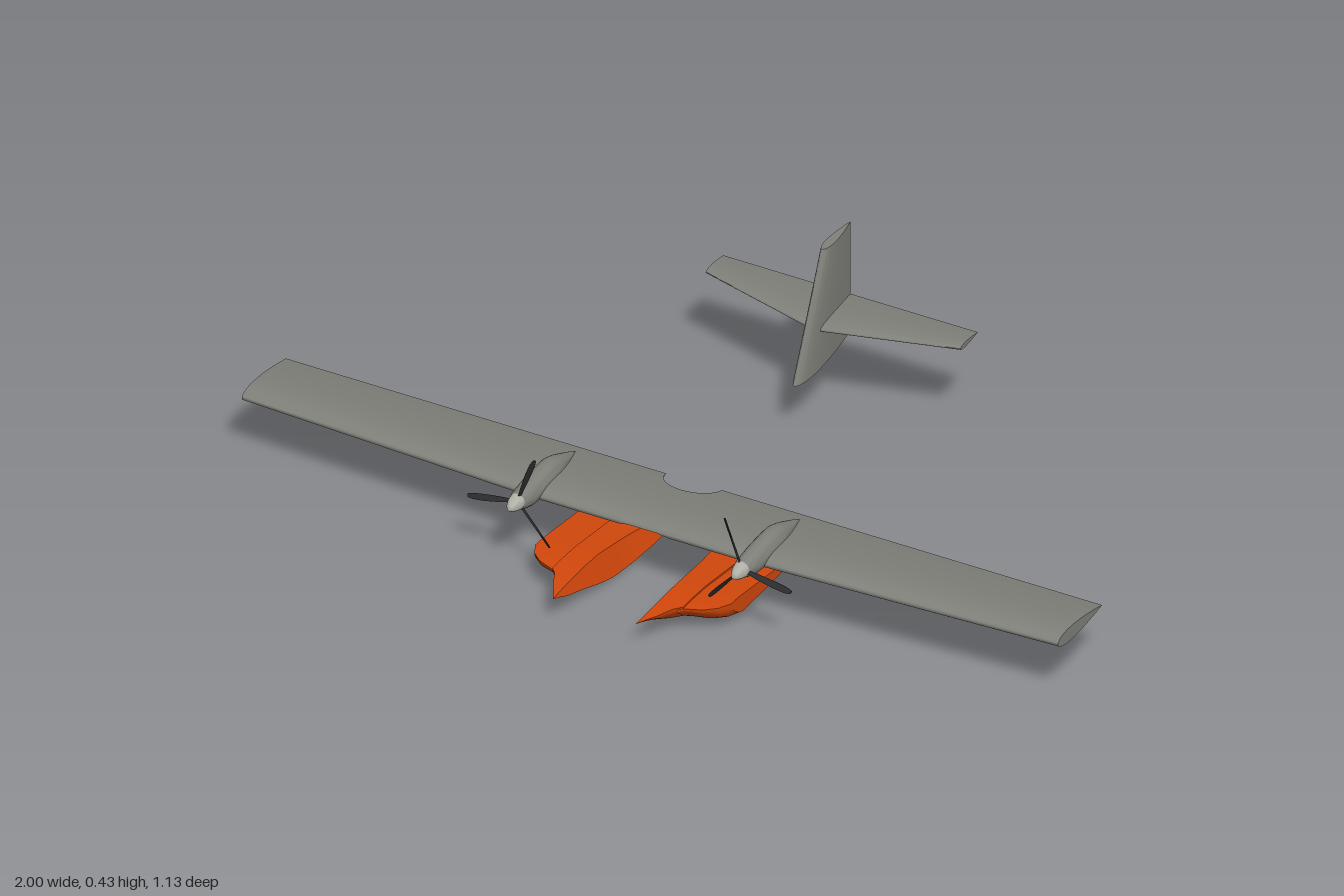
import * as THREE from 'three';
import { toCreasedNormals } from 'three/addons/utils/BufferGeometryUtils.js';

const paint = (name, color) => {
  const m = new THREE.MeshStandardMaterial({ color });
  m.name = name;
  return m;
};
const V = (x, y, z) => new THREE.Vector3(x, y, z);

// Linear interpolation through [key, value] pairs with rising keys
function lerpTable(table, k) {
  if (k <= table[0][0]) return table[0][1];
  for (let i = 1; i < table.length; i++) {
    const [a, va] = table[i - 1], [b, vb] = table[i];
    if (k <= b) return va + (vb - va) * (k - a) / (b - a);
  }
  return table[table.length - 1][1];
}

// Skin closed loops of equal length, cap both ends, face everything outward
function loft(loops, crease = 0.6) {
  const n = loops[0].length, pts = loops.flat(), index = [];
  for (let i = 0; i < loops.length - 1; i++)
    for (let j = 0; j < n; j++) {
      const a = i * n + j, b = i * n + (j + 1) % n;
      index.push(a, b, b + n, a, b + n, a + n);
    }
  // caps zip the two halves of the loop together
  const cap = (o, flip) => {
    for (let j = 0; j < n / 2 - 1; j++) {
      const a = o + j, b = o + j + 1, c = o + n - 2 - j, d = o + n - 1 - j;
      index.push(...(flip ? [a, c, b, a, d, c] : [a, b, c, a, c, d]));
    }
  };
  cap(0, true);
  cap((loops.length - 1) * n, false);
  let volume = 0;
  for (let i = 0; i < index.length; i += 3)
    volume += pts[index[i]].dot(V().crossVectors(pts[index[i + 1]], pts[index[i + 2]]));
  if (volume < 0) index.reverse();
  const g = new THREE.BufferGeometry().setFromPoints(pts);
  g.setIndex(index);
  return toCreasedNormals(g, crease);
}

// Half thickness of an airfoil, 0..1, at chord fraction u
const foilHalf = u => Math.max(0, 2 * (1.4845 * Math.sqrt(u) - 0.63 * u - 1.758 * u * u
  + 1.4215 * u ** 3 - 0.518 * u ** 4));

// Loop from upper(u) front to back and lower(u) back to front
function foilLoop(upper, lower, steps = 18) {
  const loop = [];
  const u = i => 1 - Math.cos(i / steps * Math.PI / 2);
  for (let i = 0; i <= steps; i++) loop.push(upper(u(i)));
  for (let i = steps; i >= 0; i--) loop.push(lower(u(i)));
  return loop;
}

// Wing section, carved from below and behind where the hull would sit
function wingLoop(x) {
  const ax = Math.abs(x);
  const front = lerpTable([[0.27, 0.354], [1, 0.32]], ax), back = 0.125;
  const chord = front - back, half = 0.0195 * (0.3 + 0.7 * chord / 0.229);
  const end = ax < 0.068 ? back + 0.058 * Math.sqrt(1 - (ax / 0.068) ** 2) : back;
  const uEnd = (front - end) / chord;
  const hull = 0.172 - 0.025 * (ax / 0.09) ** 2;
  const top = u => 0.168 - 0.01 * u + half * foilHalf(u);
  const bottom = u => Math.min(top(u), Math.max(0.168 - 0.01 * u - half * foilHalf(u), hull));
  const at = f => u => V(x, f(u * uEnd), front - chord * u * uEnd);
  return foilLoop(at(top), at(bottom));
}

// Side profile of the sponsons: [z, y]
const sponsonTop = [[0.07, 0.04], [0.2, 0.056], [0.3, 0.069], [0.36, 0.077], [0.42, 0.08], [0.5, 0.08], [0.57, 0.077]];
const sponsonBottom = [[0.07, 0.016], [0.13, 0.009], [0.2, 0.004], [0.26, 0.003], [0.33, 0.008],
  [0.38, 0.018], [0.45, 0.04], [0.51, 0.056], [0.57, 0.071]];
const sponsonFront = [[0.1, 0.565], [0.115, 0.54], [0.13, 0.515], [0.145, 0.48], [0.16, 0.463],
  [0.2, 0.447], [0.225, 0.425], [0.24, 0.395]];
const innerEdge = [[0.07, 0.05], [0.13, 0.068], [0.25, 0.08], [0.36, 0.083], [0.56, 0.083]];

function sponsonLoop(side, x, back, drop, floor, xAt) {
  const front = lerpTable(sponsonFront, x);
  const point = lower => u => {
    const z = front + (back - front) * u;
    const t = lerpTable(sponsonTop, z) - drop;
    const b = Math.min(t, Math.max(floor, lerpTable(sponsonBottom, z)));
    const nose = Math.sqrt(Math.min(1, (front - z) / 0.05));
    const y = lower ? t - (t - b) * nose : t;
    return V(side * (xAt ? xAt(y, z) : x), y, z);
  };
  return foilLoop(point(false), point(true), 20);
}

// Round body along z from rows of [z, centre y, half width, half height]
function podLoops(x, rows) {
  return rows.map(([z, y, rx, ry]) => Array.from({ length: 24 }, (_, i) => {
    const a = (i + 0.5) / 24 * Math.PI * 2;
    return V(x + rx * Math.cos(a), y + ry * Math.sin(a), z);
  }));
}

export function createModel() {
  const grey = paint('airframe grey', 0x80807a);
  const light = paint('spinner grey', 0xb0b0a8);
  const dark = paint('propeller black', 0x2b2b2d);
  const orange = paint('sponson orange', 0xd4480c);

  const model = new THREE.Group();
  model.name = 'twinEngineFlyingBoatParts';
  const add = (name, geometry, material, parent = model) => {
    const mesh = new THREE.Mesh(geometry, material);
    mesh.name = name;
    parent.add(mesh);
    return mesh;
  };

  // Main wing
  const half = [0.006, 0.015, 0.025, 0.035, 0.045, 0.053, 0.06, 0.065, 0.068, 0.08, 0.09, 0.1, 0.18, 0.27, 0.5, 0.75, 1];
  const stations = [...half.map(x => -x).reverse(), 0, ...half];
  add('wing', loft(stations.map(wingLoop)), grey);

  // Tail fin: upright airfoil with swept leading edge
  add('tailFin', loft([[0.15, -0.318, 0.016], [0.43, -0.442, 0.011]].map(([y, front, t]) => {
    const at = s => u => V(s * t * foilHalf(u), y, front + (-0.567 - front) * u);
    return foilLoop(at(1), at(-1));
  })), grey);

  // Tailplane
  add('tailplane', loft([[-0.312, -0.49, 0.006], [0, -0.405, 0.011], [0.312, -0.49, 0.006]].map(([x, front, t]) => {
    const at = s => u => V(x, 0.245 + s * t * foilHalf(u), front + (-0.567 - front) * u);
    return foilLoop(at(1), at(-1));
  })), grey);

  for (const side of [1, -1]) {
    const label = side > 0 ? 'left' : 'right';
    const x = side * 0.275;

    // Engine nacelle fading into the wing
    add(label + 'Nacelle', loft(podLoops(x, [
      [0.415, 0.183, 0.018, 0.018], [0.4, 0.182, 0.022, 0.023], [0.375, 0.179, 0.025, 0.028],
      [0.34, 0.179, 0.027, 0.031], [0.3, 0.18, 0.027, 0.032], [0.265, 0.181, 0.026, 0.031],
      [0.235, 0.178, 0.022, 0.025], [0.2, 0.171, 0.014, 0.017], [0.175, 0.166, 0.007, 0.011],
      [0.155, 0.163, 0.001, 0.003]])), grey);

    // Propeller: spinner and three blades
    const propeller = new THREE.Group();
    propeller.name = label + 'Propeller';
    propeller.position.set(x, 0.184, 0.41);
    model.add(propeller);
    add('spinner', loft(podLoops(0, [[0.039, 0, 0.001, 0.001], [0.036, 0, 0.006, 0.006],
      [0.028, 0, 0.011, 0.011], [0.016, 0, 0.016, 0.016], [0, 0, 0.019, 0.019]])), light, propeller);
    const blade = loft([[0.01, 0.008, 1.3], [0.04, 0.014, 1.15], [0.08, 0.016, 0.95],
      [0.11, 0.014, 0.85], [0.123, 0.008, 0.8]].map(([r, chord, pitch]) => {
      const at = s => u => {
        const c = (u - 0.4) * chord, t = s * 0.0022 * foilHalf(u);
        return V(side * (c * Math.cos(pitch) - t * Math.sin(pitch)), r,
          c * Math.sin(pitch) + t * Math.cos(pitch));
      };
      return foilLoop(at(1), at(-1), 8);
    }));
    for (let i = 0; i < 3; i++)
      add('blade', blade, dark, propeller).rotation.z = side * (20 + i * 120) * Math.PI / 180;

    // Sponson: deep inner body and shallower, shorter outer body
    const sponson = new THREE.Group();
    sponson.name = label + 'Sponson';
    model.add(sponson);
    const edge = (y, z) => lerpTable(innerEdge, z) + 0.3 * (y - 0.015);
    add('innerSponson', loft([
      sponsonLoop(side, 0.1, 0.07, 0, 0, edge),
      ...[0.115, 0.13, 0.145, 0.16].map(v => sponsonLoop(side, v, 0.07, 0, 0))]), orange, sponson);
    add('outerSponson', loft([0.15, 0.16, 0.18, 0.2, 0.215, 0.225, 0.233, 0.24].map(v =>
      sponsonLoop(side, v, 0.12, 0.004, 0.027))), orange, sponson);
  }
  return model;
}
